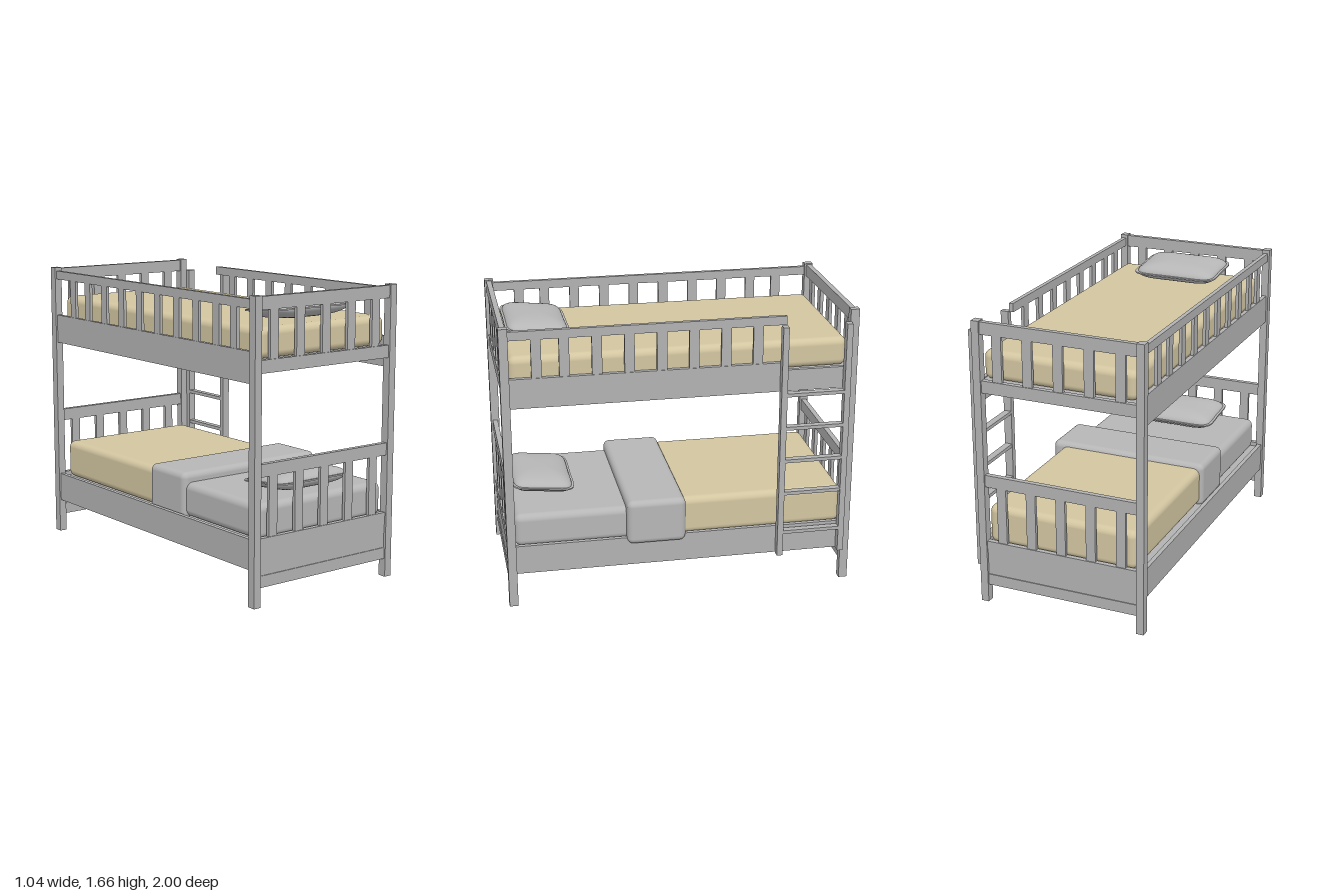
import * as THREE from 'three';
import { RoundedBoxGeometry } from 'three/addons/geometries/RoundedBoxGeometry.js';

const mat = (name, color) => Object.assign(new THREE.MeshStandardMaterial({ color }), { name });

export function createModel() {
  const root = new THREE.Group();
  root.name = 'bunkBed';
  const wood = mat('frameGrey', 0xb2b2b2);
  const cloth = mat('beddingGrey', 0xb6b6b6);
  const tan = mat('mattressTan', 0xd2c5a0);

  // Box given by its limits on each axis; a radius makes it a soft one
  const box = (name, [x0, x1], [y0, y1], [z0, z1], material = wood, radius = 0) => {
    const size = [x1 - x0, y1 - y0, z1 - z0];
    const geo = radius ? new RoundedBoxGeometry(...size, 5, radius) : new THREE.BoxGeometry(...size);
    const mesh = new THREE.Mesh(geo, material);
    mesh.name = name;
    mesh.position.set((x0 + x1) / 2, (y0 + y1) / 2, (z0 + z1) / 2);
    root.add(mesh);
    return mesh;
  };
  const around = (c, w) => [c - w / 2, c + w / 2];

  const midX = -0.0225, postX = 0.475;
  const acrossX = [-0.475, 0.43], alongZ = [-0.95, 0.95];

  // Corner posts
  for (const sx of [-1, 1]) for (const sz of [-1, 1])
    box('cornerPost', around(midX + sx * postX, 0.045), [0, 1.66], around(sz * 0.975, 0.05));

  // Head and foot ends: rails, boards and slats
  for (const sz of [-1, 1]) {
    const rail = around(sz * 0.975, 0.03), thin = around(sz * 0.975, 0.02);
    box('upperEndTopRail', acrossX, [1.585, 1.655], rail);
    box('upperEndBottomRail', acrossX, [1.255, 1.325], rail);
    box('lowerEndTopRail', acrossX, [0.705, 0.775], rail);
    box('lowerEndMiddleRail', acrossX, [0.305, 0.375], rail);
    box('lowerEndBoard', acrossX, [0.17, 0.305], thin);
    box('lowerEndBottomRail', acrossX, [0.105, 0.17], rail);
    for (let i = -2; i <= 2; i++) {
      const x = around(midX + i * 0.179, 0.056);
      box('upperEndSlat', x, [1.325, 1.585], thin);
      box('lowerEndSlat', x, [0.375, 0.705], thin);
    }
  }

  // Long sides; the right guard stops at the ladder opening
  const slatZ = [0.8, 0.648, 0.469, 0.29, 0.11, -0.07, -0.25, -0.43, -0.61, -0.77];
  for (const sx of [-1, 1]) {
    const x = around(midX + sx * postX, 0.025), thin = around(midX + sx * postX, 0.018);
    const end = sx > 0 ? -0.59 : -0.95;
    box('lowerSideRail', x, [0.2, 0.37], alongZ);
    box('upperSideRail', x, [1.2, 1.325], alongZ);
    box('guardBottomRail', x, [1.325, 1.37], [end, 0.95]);
    box('guardTopRail', x, [1.59, 1.64], [end, 0.95]);
    for (const z of slatZ) if (z > end) box('guardSlat', thin, [1.37, 1.59], around(z, 0.056));
  }

  // Bed bases
  for (const y of [0.33, 1.3]) box('bedBase', [-0.49, 0.445], [y, y + 0.02], [-0.965, 0.965]);

  // Ladder on the right side
  for (const z of [-0.573, -0.937]) box('ladderUpright', [0.472, 0.518], [0.2, 1.59], around(z, 0.034));
  for (const y of [0.345, 0.59, 0.79, 0.99, 1.19])
    box('ladderRung', [0.474, 0.514], around(y, 0.02), [-0.92, -0.59]);

  // Mattresses and bedding
  const bedX = [-0.455, 0.438];
  box('upperMattress', bedX, [1.32, 1.485], alongZ, tan, 0.04);
  box('lowerMattress', bedX, [0.35, 0.575], [-0.95, 0.15], tan, 0.04);
  box('lowerSheet', bedX, [0.35, 0.545], [0.1, 0.95], cloth, 0.04);
  box('foldedBlanket', [-0.475, 0.498], [0.335, 0.6], [-0.022, 0.315], cloth, 0.035);

  // Pillow outline: a rounded rectangle pinched in at the middle of each side
  const outline = (t, a, b) => {
    const p = (v) => Math.sign(v) * Math.pow(Math.abs(v), 0.38);
    const u = p(Math.cos(t)), v = p(Math.sin(t));
    return [a * u * (1 - 0.05 * (1 - v * v)), b * v * (1 - 0.05 * (1 - u * u))];
  };
  const pillowGeo = new THREE.SphereGeometry(1, 64, 24);
  const pos = pillowGeo.attributes.position;
  for (let i = 0; i < pos.count; i++) {
    const y = pos.getY(i), r = Math.sqrt(Math.max(0, 1 - y * y));
    const [x, z] = outline(Math.atan2(pos.getZ(i), pos.getX(i)), 0.258, 0.178);
    const k = Math.pow(r, 0.75);
    pos.setXYZ(i, x * k, y * 0.056, z * k);
  }
  pillowGeo.computeVertexNormals();
  const seamShape = new THREE.Shape(
    Array.from({ length: 64 }, (_, i) => new THREE.Vector2(...outline((i / 64) * Math.PI * 2, 0.272, 0.19))));
  const seamGeo = new THREE.ExtrudeGeometry(seamShape, { depth: 0.008, bevelEnabled: false })
    .translate(0, 0, -0.004).rotateX(-Math.PI / 2);

  for (const [name, y] of [['lowerPillow', 0.606], ['upperPillow', 1.548]]) {
    const pillow = new THREE.Group();
    pillow.name = name;
    for (const [part, geo] of [['pillowBody', pillowGeo], ['pillowSeam', seamGeo]]) {
      const mesh = new THREE.Mesh(geo, cloth);
      mesh.name = part;
      pillow.add(mesh);
    }
    pillow.position.set(-0.025, y, 0.757);
    pillow.rotation.x = -0.1;
    root.add(pillow);
  }
  return root;
}
